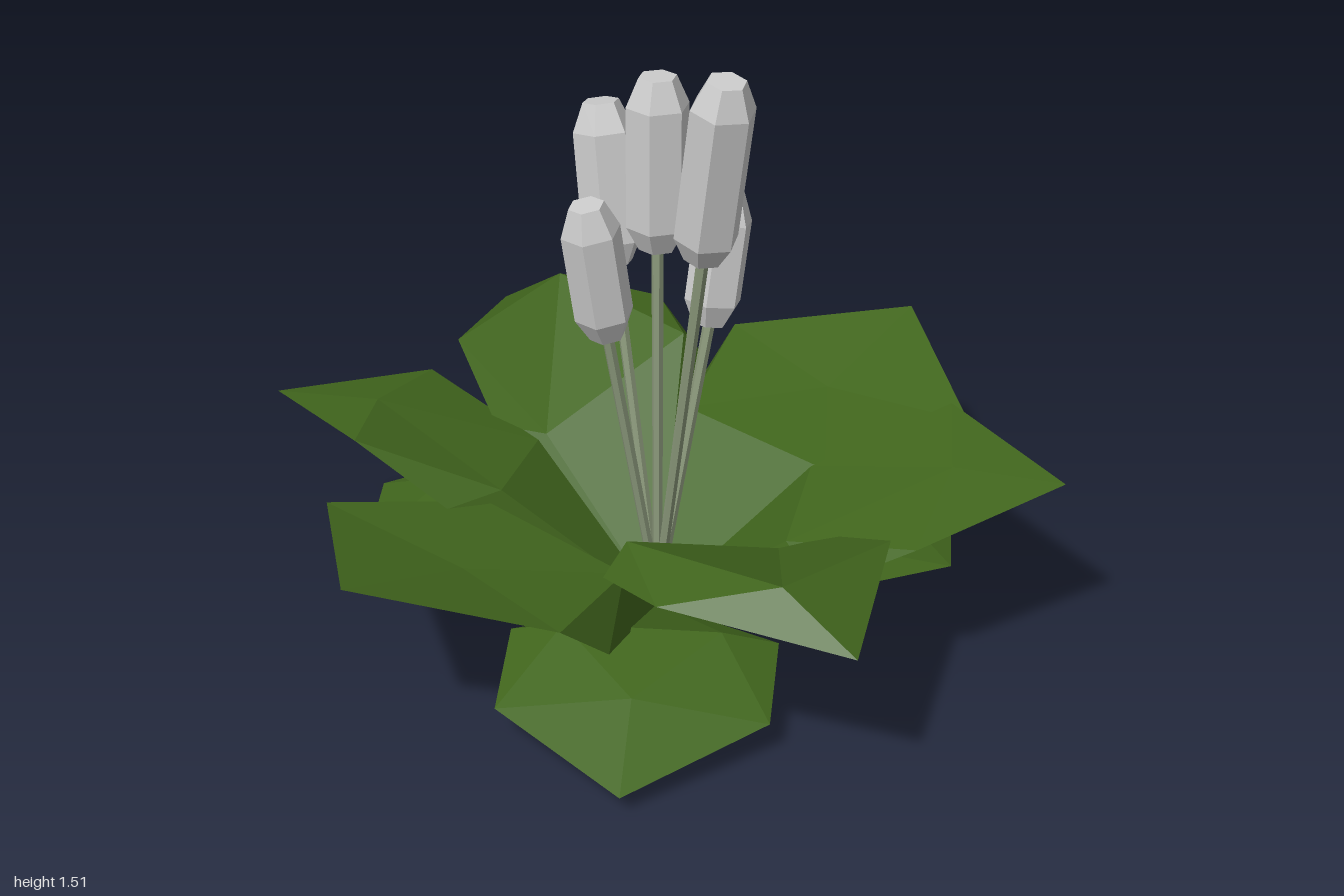
import * as THREE from 'three';

const leafMaterial = new THREE.MeshStandardMaterial({ color: 0x41661d, flatShading: true, side: THREE.DoubleSide });
const stemMaterial = new THREE.MeshStandardMaterial({ color: 0x8c9a7c, flatShading: true });
const headMaterial = new THREE.MeshStandardMaterial({ color: 0xcccccc, flatShading: true });

// Folded leaf pointing along +x: a steep base, a plate and side flaps.
// Corners: 0 base, 1-2 fold, 3-4 flap, 5-6 shoulder, 7 crest, 8 tip.
const leafFaces = [
  0, 1, 2, 0, 3, 1, 0, 2, 4, 1, 3, 5, 2, 6, 4,
  1, 7, 2, 1, 5, 7, 2, 7, 6, 5, 8, 7, 6, 7, 8,
];

// Corners are [distance along the leaf, height, sideways]; angle goes from +x towards +z
function makeLeaf(name, angle, corners) {
  const geometry = new THREE.BufferGeometry();
  geometry.setAttribute('position', new THREE.Float32BufferAttribute([[0, 0, 0], ...corners].flat(), 3));
  geometry.setIndex(leafFaces);
  const flat = geometry.toNonIndexed();
  flat.computeVertexNormals();
  const leaf = new THREE.Mesh(flat, leafMaterial);
  leaf.name = name;
  leaf.rotation.y = -THREE.MathUtils.degToRad(angle);
  return leaf;
}

// Flower head with its stem, leaning from the plant's base
function makeStalk(bottom, top, radius) {
  const stalk = new THREE.Group();
  stalk.name = 'stalk';
  const a = new THREE.Vector3(...bottom);
  const axis = new THREE.Vector3(...top).sub(a);
  const up = new THREE.Vector3(0, 1, 0);

  const h = axis.length();
  const profile = [[0, 0], [0.6, 0], [1, 0.06], [1, h - 0.07], [0.6, h], [0, h]]
    .map(([r, y]) => new THREE.Vector2(r * radius, y));
  const head = new THREE.Mesh(new THREE.LatheGeometry(profile, 6, Math.PI / 2), headMaterial);
  head.name = 'flowerHead';
  head.position.copy(a);
  head.quaternion.setFromUnitVectors(up, axis.clone().normalize());

  const base = new THREE.Vector3(0, 0.03, 0);
  const run = a.clone().sub(base);
  const stem = new THREE.Mesh(new THREE.CylinderGeometry(0.015, 0.012, run.length() + 0.02, 6), stemMaterial);
  stem.name = 'stem';
  stem.position.copy(base).addScaledVector(run, 0.5);
  stem.quaternion.setFromUnitVectors(up, run.normalize());

  stalk.add(head, stem);
  return stalk;
}

export function createModel() {
  const model = new THREE.Group();
  model.name = 'plant';

  // Upper leaves: three shapes, each repeated on the opposite side
  const upper = [
    [90, [[0.35, 0.35, 0.25], [0.35, 0.35, -0.23], [0.55, 0.29, 0.43], [0.55, 0.29, -0.38],
      [0.7, 0.42, 0.43], [0.7, 0.42, -0.38], [0.64, 0.39, 0.01], [1, 0.5, 0]]],
    [20.6, [[0.45, 0.51, 0.29], [0.38, 0.34, -0.14], [0.45, 0.43, 0.35], [0.43, 0.37, -0.26],
      [0.71, 0.5, 0.34], [0.69, 0.5, -0.26], [0.84, 0.56, 0.1], [1, 0.44, 0]]],
    [-30.2, [[0.36, 0.34, 0.17], [0.36, 0.37, -0.15], [0.46, 0.3, 0.3], [0.46, 0.37, -0.27],
      [0.69, 0.44, 0.3], [0.69, 0.53, -0.27], [0.73, 0.5, 0], [1, 0.49, 0]]],
  ];
  for (const [angle, corners] of upper) {
    for (const turn of [0, 180]) model.add(makeLeaf('upperLeaf', angle + turn, corners));
  }

  // Lower leaves lie almost on the ground; angle, length and shoulder distance differ
  for (const [angle, length, reach] of [[-72, 0.9, 0.68], [51.5, 0.875, 0.62], [171, 0.92, 0.7]]) {
    model.add(makeLeaf('lowerLeaf', angle, [
      [0.38, 0.175, 0.19], [0.38, 0.175, -0.19], [reach - 0.29, 0.12, 0.325], [reach - 0.29, 0.12, -0.325],
      [reach, 0.09, 0.32], [reach, 0.09, -0.32], [reach, 0.14, 0], [length, 0.05, 0],
    ]));
  }

  // Flower stalks: bottom and top of each head, and its radius
  const stalks = [
    [[0, 1.0, 0], [0, 1.43, 0], 0.077],
    [[0.18, 1.04, 0.035], [0.265, 1.5, 0.055], 0.078],
    [[-0.17, 0.9, -0.025], [-0.228, 1.3, -0.04], 0.075],
    [[-0.025, 0.81, 0.145], [-0.035, 1.16, 0.2], 0.072],
    [[0.045, 0.77, -0.135], [0.05, 1.1, -0.19], 0.072],
  ];
  for (const [bottom, top, radius] of stalks) model.add(makeStalk(bottom, top, radius));

  return model;
}
